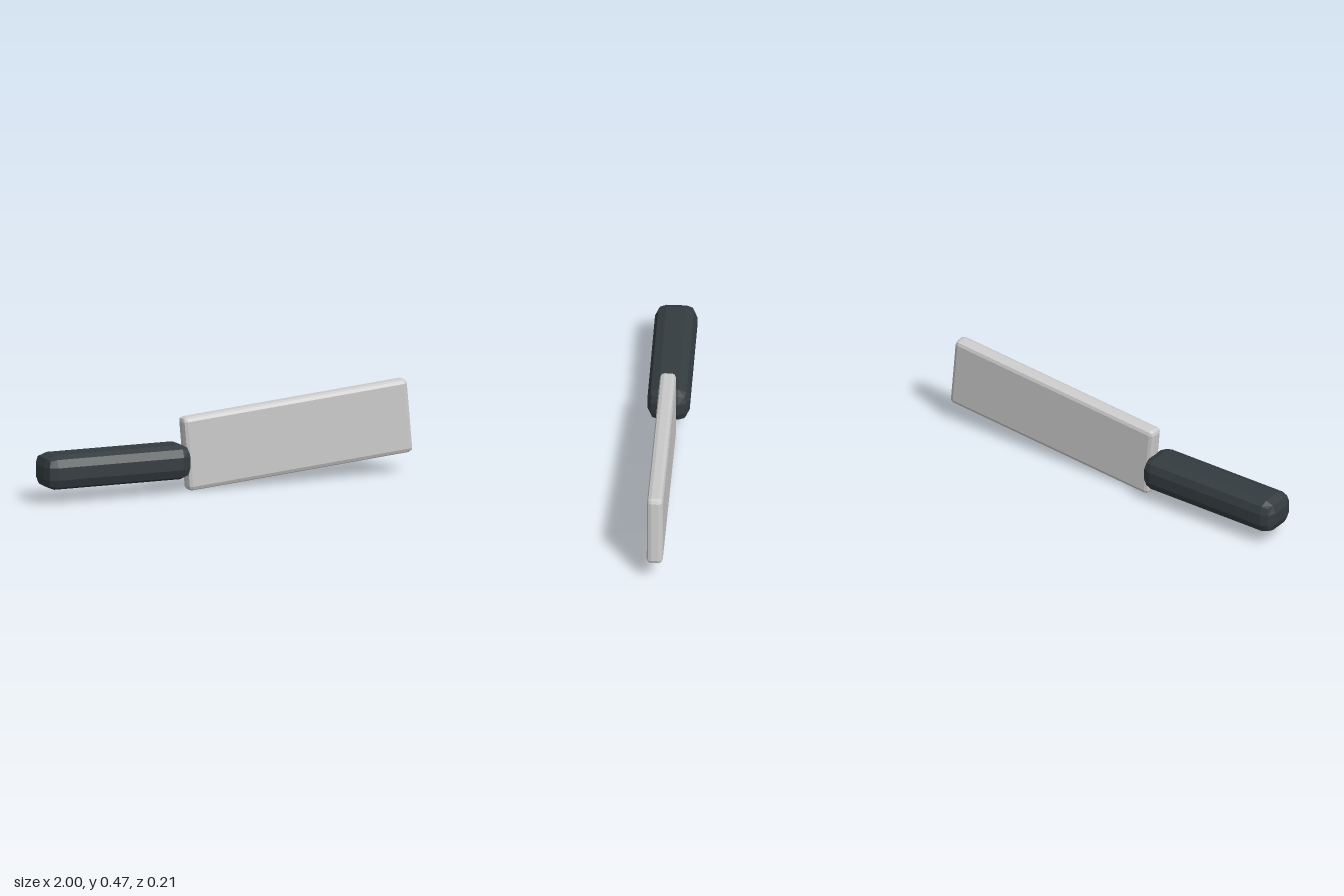
import * as THREE from 'three';
import { RoundedBoxGeometry } from 'three/addons/geometries/RoundedBoxGeometry.js';

// Faceted box with a two-step bevel on every edge
function bevelBox(name, [w, h, d], radius, color, [x, y, z]) {
  const mesh = new THREE.Mesh(
    new RoundedBoxGeometry(w, h, d, 1, radius),
    new THREE.MeshStandardMaterial({ color, flatShading: true })
  );
  mesh.name = name;
  mesh.position.set(x, y, z);
  return mesh;
}

export function createModel() {
  const group = new THREE.Group();
  group.name = 'cleaver';

  // Thick dark grip
  group.add(bevelBox('handle', [0.79, 0.174, 0.21], 0.056, 0x343c40, [-0.605, 0.156, 0]));

  // Broad blade, tipped slightly upwards
  const blade = bevelBox('blade', [1.216, 0.374, 0.08], 0.022, 0xc8cccc, [0.38, 0.2375, 0]);
  blade.rotation.z = THREE.MathUtils.degToRad(5);
  group.add(blade);

  return group;
}
